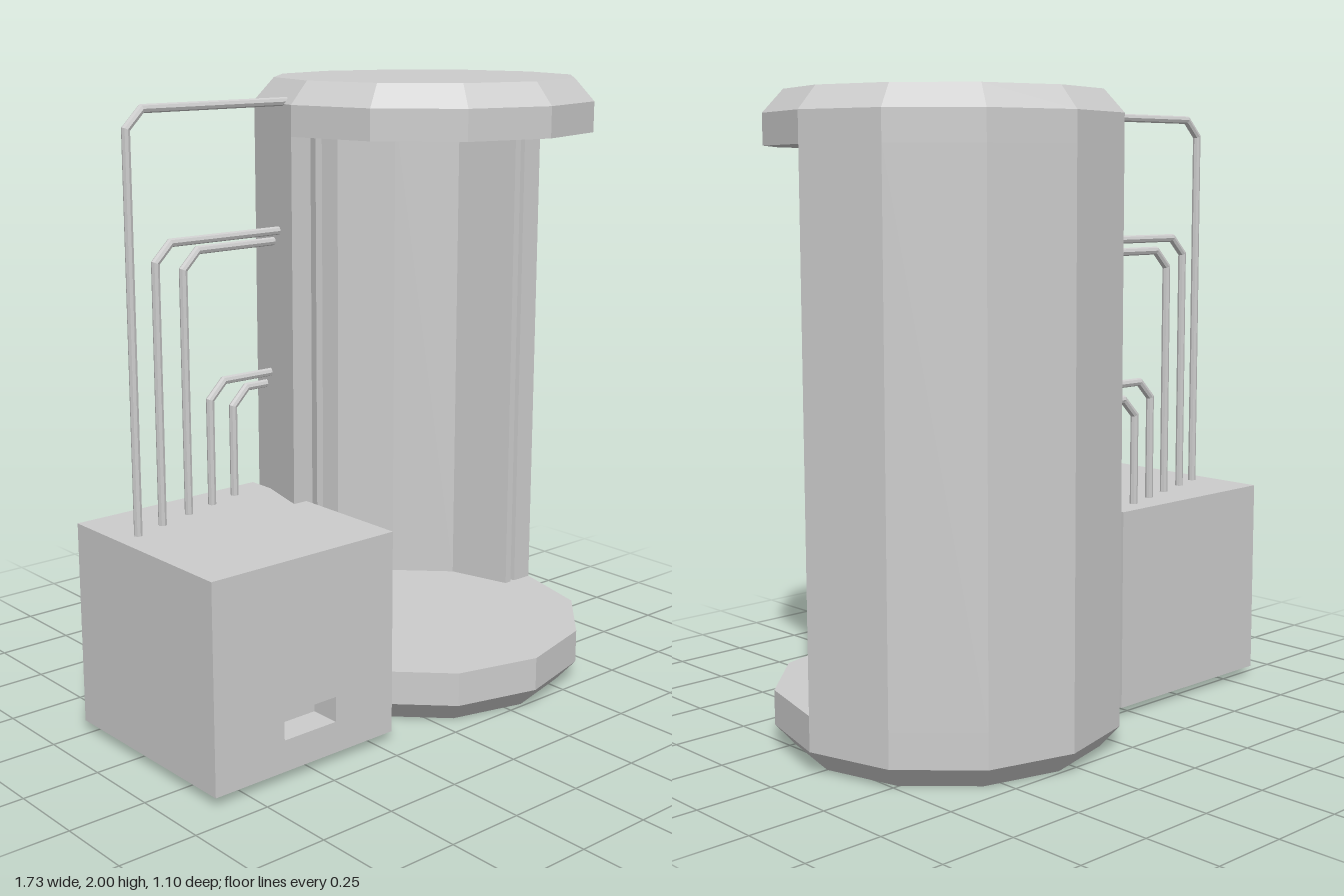
import * as THREE from 'three';

const grey = new THREE.MeshStandardMaterial({ color: 0xcccccc, flatShading: true });
grey.name = 'grey metal';

const SIDES = 12, CX = 0.31, R = 0.55, FLOOR = 0.18, CEILING = 1.835;

function add(parent, name, geometry, x = 0, y = 0, z = 0) {
  const mesh = new THREE.Mesh(geometry, grey);
  mesh.name = name;
  mesh.position.set(x, y, z);
  parent.add(mesh);
  return mesh;
}

// Half ring standing behind z = 0, with flat facets
function halfShell(inner, outer, height) {
  const pts = [];
  const ring = (r, i) => {
    const a = (i / SIDES) * Math.PI * 2;
    pts.push(new THREE.Vector2(r * Math.cos(a), r * Math.sin(a)));
  };
  for (let i = 0; i <= SIDES / 2; i++) ring(outer, i);
  for (let i = SIDES / 2; i >= 0; i--) ring(inner, i);
  const g = new THREE.ExtrudeGeometry(new THREE.Shape(pts), { depth: height, bevelEnabled: false });
  return g.rotateX(-Math.PI / 2);
}

// Thin pipe along a path in the xy plane, with mitred corners
function pipeGeometry(path, radius, sides = 8) {
  const pos = [], index = [];
  const dirs = path.slice(1).map((p, i) => p.clone().sub(path[i]).normalize());
  path.forEach((p, i) => {
    const a = dirs[Math.max(i - 1, 0)], b = dirs[Math.min(i, dirs.length - 1)];
    const t = a.clone().add(b).normalize();
    const k = radius / t.dot(a);
    for (let j = 0; j < sides; j++) {
      const w = (j / sides) * Math.PI * 2;
      pos.push(p.x + t.y * k * Math.cos(w), p.y - t.x * k * Math.cos(w), radius * Math.sin(w));
      if (i > 0) {
        const j2 = (j + 1) % sides, lo = (i - 1) * sides, hi = i * sides;
        index.push(lo + j, hi + j, lo + j2, lo + j2, hi + j, hi + j2);
      }
    }
  });
  const g = new THREE.BufferGeometry();
  g.setAttribute('position', new THREE.Float32BufferAttribute(pos, 3));
  g.setIndex(index);
  g.computeVertexNormals();
  return g;
}

function rect(path, x0, y0, x1, y1) {
  path.moveTo(x0, y0);
  path.lineTo(x1, y0);
  path.lineTo(x1, y1);
  path.lineTo(x0, y1);
  path.closePath();
  return path;
}

export function createModel() {
  const model = new THREE.Group();
  model.name = 'chamber';

  // Cylindrical booth: bevelled base and roof
  const booth = new THREE.Group();
  booth.name = 'booth';
  booth.position.x = CX;
  model.add(booth);
  const bevel = 0.487;
  const disc = (name, pts) =>
    add(booth, name, new THREE.LatheGeometry(pts.map(([r, y]) => new THREE.Vector2(r, y)), SIDES));
  disc('base', [[0, 0], [bevel, 0], [R, 0.07], [R, FLOOR], [0, FLOOR]]);
  disc('roof', [[0, CEILING], [R, CEILING], [R, 1.93], [bevel, 2], [0, 2]]);

  // Back wall: two shells with a narrow door slot between them
  const h = CEILING - FLOOR;
  add(booth, 'outerWall', halfShell(0.475, R, h), 0, FLOOR);
  add(booth, 'innerWall', halfShell(0.43, 0.455, h), 0, FLOOR);

  // Control box with a recessed slot in its front panel
  const box = new THREE.Group();
  box.name = 'controlBox';
  model.add(box);
  const x0 = -0.865, x1 = -0.19, y0 = 0.03, y1 = 0.68, back = -0.28, front = 0.41, recess = 0.1;
  const panel = rect(new THREE.Shape(), x0, y0, x1, y1);
  panel.holes.push(rect(new THREE.Path(), -0.613, 0.13, -0.417, 0.21));
  add(box, 'frontPanel', new THREE.ExtrudeGeometry(panel, { depth: recess, bevelEnabled: false }),
    0, 0, front - recess);
  const depth = front - recess - back;
  add(box, 'boxBody', new THREE.BoxGeometry(x1 - x0, y1 - y0, depth),
    (x0 + x1) / 2, (y0 + y1) / 2, back + depth / 2);

  // Pipes from the box to the booth: x, top height, z
  const pipes = [
    [-0.79, 1.937, -0.06], [-0.677, 1.54, -0.097], [-0.552, 1.502, -0.135],
    [-0.437, 1.075, -0.17], [-0.322, 1.03, -0.205],
  ];
  const bend = 0.055;
  pipes.forEach(([x, y, z], i) => {
    const path = [[x, 0.66], [x, y - bend], [x + bend, y], [-0.15, y]]
      .map(([px, py]) => new THREE.Vector2(px, py));
    add(model, `pipe${i + 1}`, pipeGeometry(path, 0.013), 0, 0, z);
  });

  return model;
}
